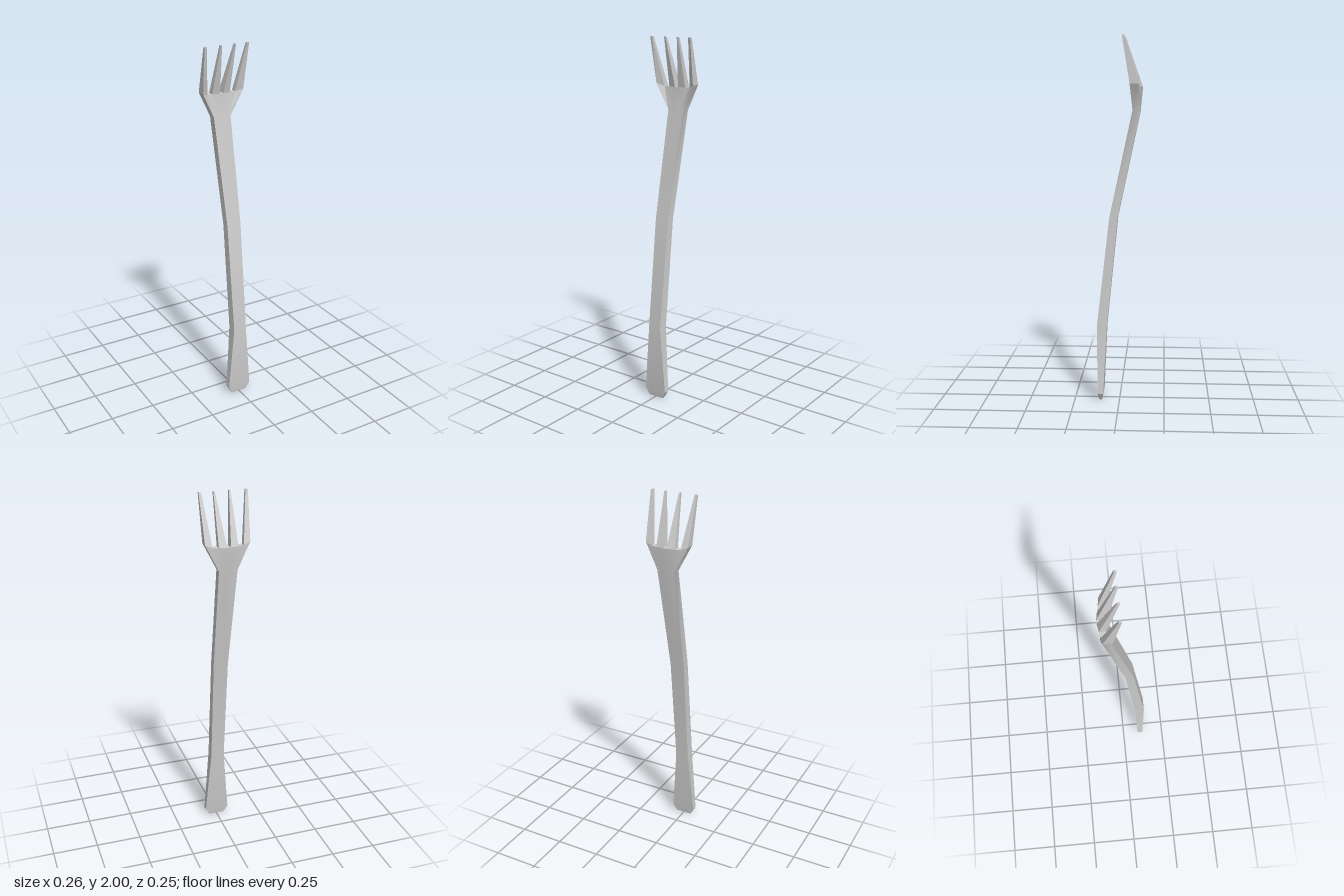
import * as THREE from 'three';
import { toCreasedNormals } from 'three/addons/utils/BufferGeometryUtils.js';

// Loft through rings of columns [x, y, zBack, zFront], listed from -x to +x.
// bottomCaps / topCaps list the column strips to close at each end.
function loft(sections, bottomCaps, topCaps) {
  const positions = [];
  const quad = (a, b, c, d) => positions.push(...a, ...b, ...c, ...a, ...c, ...d);
  const front = ([x, y, , z]) => [x, y, z];
  const back = ([x, y, z]) => [x, y, z];
  const rings = sections.map((s) => [...s.map(front), ...s.map(back).reverse()]);
  for (let r = 0; r < rings.length - 1; r++) {
    const lower = rings[r], upper = rings[r + 1];
    lower.forEach((p, i) => {
      const j = (i + 1) % lower.length;
      quad(p, lower[j], upper[j], upper[i]);
    });
  }
  const first = sections[0], last = sections[sections.length - 1];
  for (const i of bottomCaps) quad(front(first[i]), back(first[i]), back(first[i + 1]), front(first[i + 1]));
  for (const i of topCaps) quad(front(last[i]), front(last[i + 1]), back(last[i + 1]), back(last[i]));
  const geometry = new THREE.BufferGeometry();
  geometry.setAttribute('position', new THREE.Float32BufferAttribute(positions, 3));
  return toCreasedNormals(geometry, 0.45);
}

export function createModel() {
  const group = new THREE.Group();
  const material = new THREE.MeshStandardMaterial({ color: 0xcccccc });
  const add = (name, geometry) => {
    const mesh = new THREE.Mesh(geometry, material);
    mesh.name = name;
    group.add(mesh);
  };

  // Curved head edge where the tines begin: [x, y, zBack, zFront]
  const half = [
    [0.01, 1.735, -0.125, -0.075],
    [0.052, 1.735, -0.118, -0.082],
    [0.083, 1.735, -0.112, -0.08],
    [0.12, 1.75, -0.105, -0.057],
  ];
  const head = [...half.map(([x, ...rest]) => [-x, ...rest]).reverse(), ...half];

  // Handle sections: [y, halfWidth, zBack, zFront]
  const handle = [
    [0, 0.045, 0.097, 0.115],
    [0.04, 0.068, 0.09, 0.121],
    [0.42, 0.038, 0.071, 0.126],
    [1.03, 0.041, 0.01, 0.056],
    [1.61, 0.05, -0.113, -0.07],
  ].map(([y, w, zb, zf]) => head.map(([x]) => [(x / 0.12) * w, y, zb, zf]));

  // Handle and flared head, closed below and in the gaps between tines
  add('handleAndHead', loft([...handle, head], [0, 1, 2, 3, 4, 5, 6], [1, 3, 5]));

  // Tapered tines: tip extents in x
  const tips = [[-0.13, -0.117], [-0.038, -0.03], [0.044, 0.052], [0.116, 0.129]];
  tips.forEach((xs, i) => {
    const base = head.slice(i * 2, i * 2 + 2);
    const tip = xs.map((x) => [x, 2, -0.03, -0.016]);
    add(`tine${i + 1}`, loft([base, tip], [], [0]));
  });
  return group;
}
